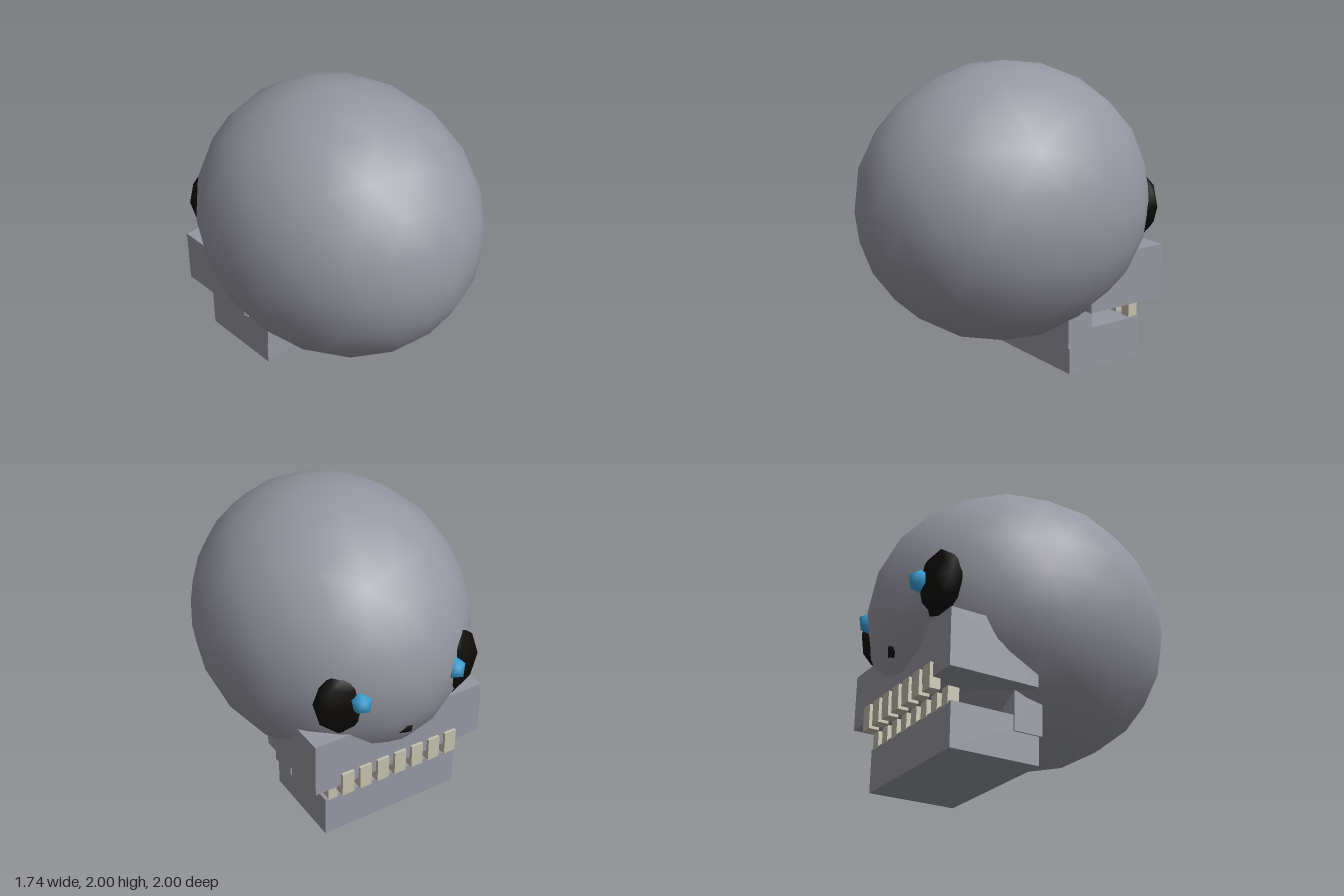
import * as THREE from 'three';
import { mergeVertices } from 'three/addons/utils/BufferGeometryUtils.js';

const material = (color) => new THREE.MeshStandardMaterial({ color });

export function createModel() {
  const model = new THREE.Group();
  const bone = material(0x9596a0);
  const dark = material(0x0c0a08);
  const blue = material(0x349fd6);
  const ivory = material(0xc4c0ac);

  const add = (name, geometry, mat, x, y, z, parent = model) => {
    const mesh = new THREE.Mesh(geometry, mat);
    mesh.name = name;
    mesh.position.set(x, y, z);
    parent.add(mesh);
    return mesh;
  };

  // Faceted ball with its poles on y, stretched to three radii, smooth shaded
  const ball = (rx, ry, rz, detail) => {
    let g = new THREE.IcosahedronGeometry(1, detail);
    g.deleteAttribute('uv');
    g.deleteAttribute('normal');
    g.rotateZ(-Math.atan(2 / (1 + Math.sqrt(5))));
    g = mergeVertices(g, 1e-4);
    g.scale(rx, ry, rz);
    g.computeVertexNormals();
    return g;
  };

  // Box given by its limits on each axis
  const box = (name, [x0, x1], [y0, y1], [z0, z1], mat, parent) =>
    add(name, new THREE.BoxGeometry(x1 - x0, y1 - y0, z1 - z0), mat,
      (x0 + x1) / 2, (y0 + y1) / 2, (z0 + z1) / 2, parent);

  // Cranium
  add('cranium', ball(0.87, 0.91, 1, 3), bone, 0, 1.09, 0);

  // Eye sockets and pupils; the face looks toward -z
  for (const [side, s] of [['left', 1], ['right', -1]]) {
    const x = s * 0.337 - 0.005;
    add(side + 'EyeSocket', ball(0.25, 0.25, 0.12, 1), dark, x, 1.04, -0.788);
    add(side + 'Pupil', ball(0.07, 0.08, 0.085, 0), blue, x, 1.06, -0.895);
  }

  // Nose hole
  add('noseHole', ball(0.08, 0.09, 0.075, 0), dark, -0.005, 0.755, -0.857);

  // Upper jaw: side profile (depth, height) extruded across the face
  const profile = [[0.25, 0.43], [0.84, 0.43], [0.84, 0.795], [0.61, 0.795],
    [0.57, 0.725], [0.525, 0.665], [0.36, 0.575], [0.25, 0.515]];
  const upper = new THREE.ExtrudeGeometry(
    new THREE.Shape(profile.map(([d, h]) => new THREE.Vector2(d, h))),
    { depth: 1.225, bevelEnabled: false });
  upper.translate(0, 0, -0.6125).rotateY(Math.PI / 2);
  add('upperJaw', upper, bone, -0.007, 0, 0);

  // Lower jaw and its hinges
  box('lowerJaw', [-0.5, 0.49], [0, 0.28], [-0.762, -0.17], bone);
  box('leftHinge', [0.365, 0.5], [0.18, 0.5], [-0.345, -0.15], bone);
  box('rightHinge', [-0.51, -0.375], [0.18, 0.5], [-0.345, -0.15], bone);

  // Two interleaved rows of teeth
  const teeth = (name, count, pitch, width, y, z) => {
    const row = new THREE.Group();
    row.name = name;
    for (let i = 0; i < count; i++) {
      const x = (i - (count - 1) / 2) * pitch;
      box('tooth', [x - width / 2, x + width / 2], y, z, ivory, row);
    }
    model.add(row);
  };
  teeth('upperTeeth', 7, 0.128, 0.084, [0.36, 0.52], [-0.86, -0.79]);
  teeth('lowerTeeth', 8, 0.124, 0.068, [0.27, 0.38], [-0.764, -0.69]);

  return model;
}
